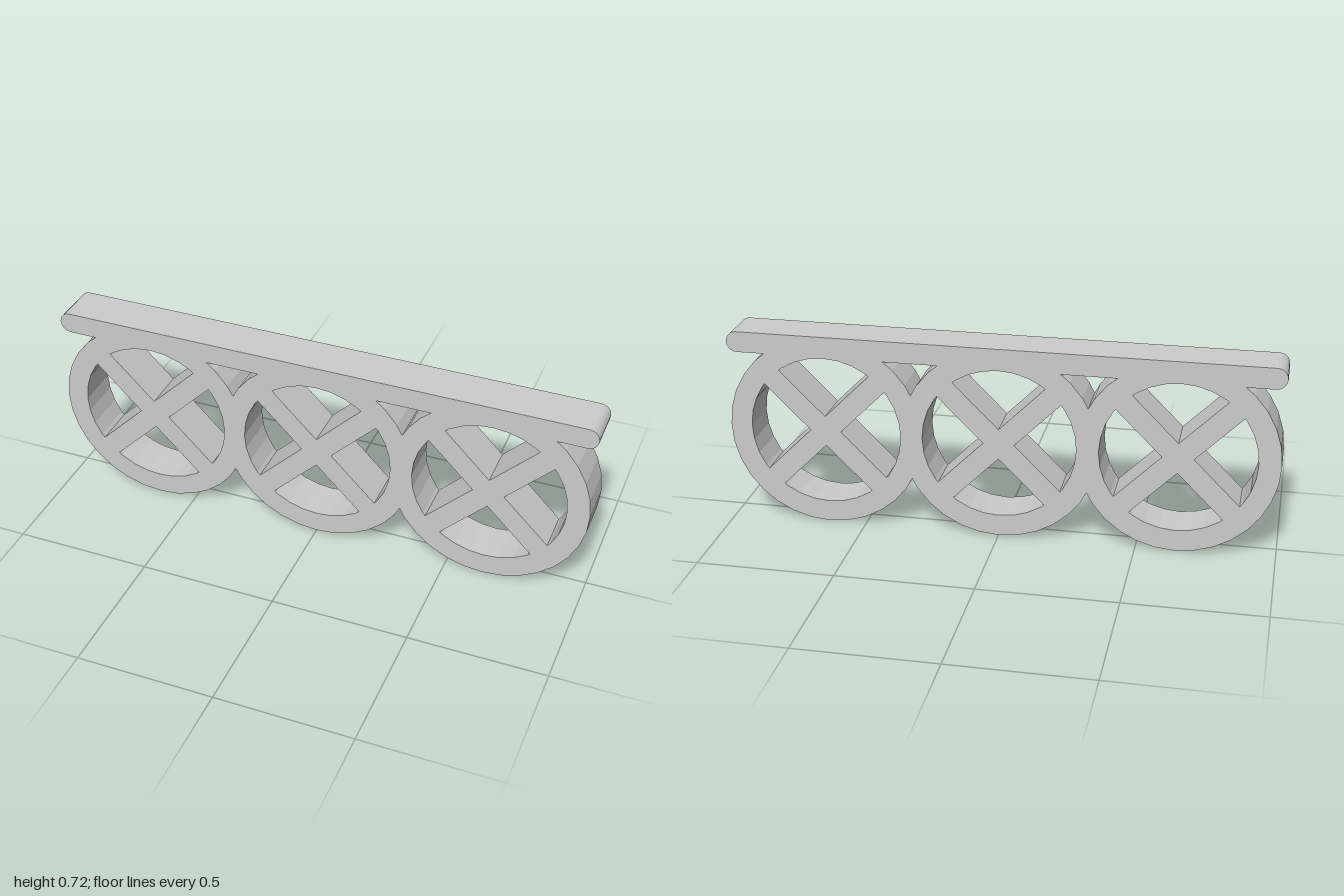
import * as THREE from 'three';

const DEPTH = 0.16;
const RADIUS = 0.36;
const INNER = 0.28;
const SIDES = 32;

// Regular polygon outline centred on the origin
function polygon(radius) {
  return Array.from({ length: SIDES }, (_, i) => {
    const a = (i / SIDES) * Math.PI * 2;
    return new THREE.Vector2(Math.cos(a) * radius, Math.sin(a) * radius);
  });
}

function extrude(shape, curveSegments) {
  const g = new THREE.ExtrudeGeometry(shape, { depth: DEPTH, bevelEnabled: false, curveSegments });
  return g.translate(0, 0, -DEPTH / 2);
}

export function createModel() {
  const grey = new THREE.MeshStandardMaterial({ color: 0xcccccc });
  grey.name = 'light grey';
  const model = new THREE.Group();
  model.name = 'wheelFrieze';

  const ringShape = new THREE.Shape(polygon(RADIUS));
  ringShape.holes.push(new THREE.Path(polygon(INNER)));
  const ringGeometry = extrude(ringShape, 1);
  const spokeGeometry = new THREE.BoxGeometry(0.63, 0.08, DEPTH);

  // Three touching rings, each with a diagonal cross
  [-0.64, 0, 0.64].forEach((x, i) => {
    const wheel = new THREE.Group();
    wheel.name = `wheel${i + 1}`;
    wheel.position.set(x, RADIUS, 0);
    const ring = new THREE.Mesh(ringGeometry, grey);
    ring.name = 'ring';
    wheel.add(ring);
    for (const side of [-1, 1]) {
      const spoke = new THREE.Mesh(spokeGeometry, grey);
      spoke.name = 'crossBar';
      spoke.rotation.z = side * Math.PI / 4;
      wheel.add(spoke);
    }
    model.add(wheel);
  });

  // Top rail with rounded ends
  const r = 0.0385;
  const railShape = new THREE.Shape();
  railShape.absarc(1 - r, 0, r, -Math.PI / 2, Math.PI / 2, false);
  railShape.absarc(-1 + r, 0, r, Math.PI / 2, Math.PI * 1.5, false);
  const rail = new THREE.Mesh(extrude(railShape, 5), grey);
  rail.name = 'topRail';
  rail.position.y = 0.72 - r;
  model.add(rail);

  return model;
}
